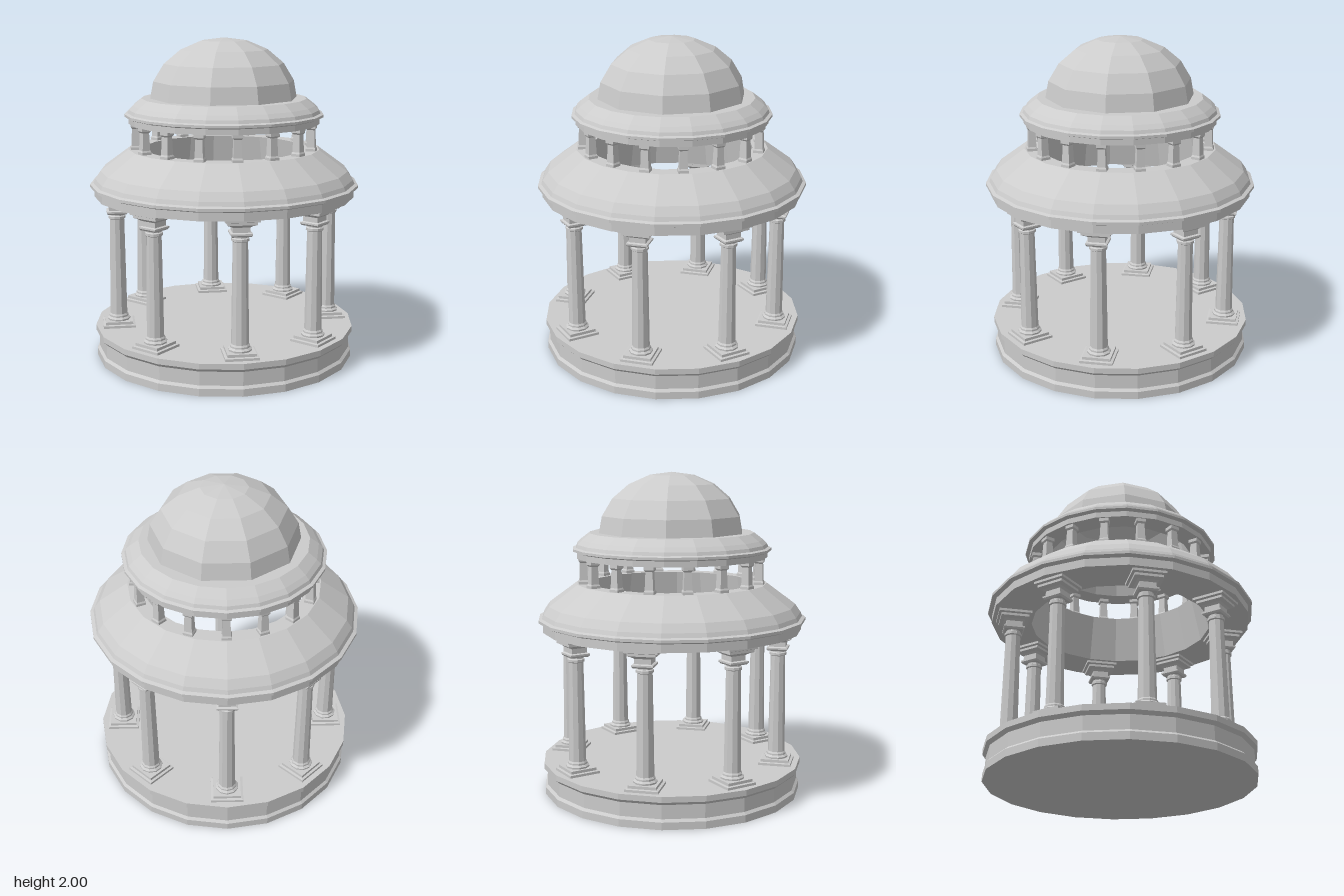
import * as THREE from 'three';

const material = new THREE.MeshStandardMaterial({ color: 0xcccccc, flatShading: true });
const openMaterial = new THREE.MeshStandardMaterial({ color: 0xcccccc, flatShading: true, side: THREE.DoubleSide });

// Faceted solid of revolution; profile is [radius, height] from bottom to top
function turned(name, profile, sides, mat = material) {
  const points = profile.map(([r, y]) => new THREE.Vector2(r, y));
  const mesh = new THREE.Mesh(new THREE.LatheGeometry(points, sides), mat);
  mesh.name = name;
  return mesh;
}

// Square stack; profile is [half width, height] from bottom to top
function squared(name, profile) {
  const points = profile.map(([h, y]) => new THREE.Vector2(h * Math.SQRT2, y));
  const mesh = new THREE.Mesh(new THREE.LatheGeometry(points, 4, Math.PI / 4), material);
  mesh.name = name;
  return mesh;
}

// Copies of a part in a ring, each turned to face outwards
function ring(name, count, radius, start, makePart) {
  const group = new THREE.Group();
  group.name = name;
  for (let i = 0; i < count; i++) {
    const angle = start + (i / count) * Math.PI * 2;
    const part = makePart();
    part.position.set(radius * Math.sin(angle), 0, radius * Math.cos(angle));
    part.rotation.y = angle;
    group.add(part);
  }
  return group;
}

function makeColumn() {
  const column = new THREE.Group();
  column.name = 'column';
  column.add(
    squared('plinth', [[0, 0.2], [0.1, 0.2], [0.1, 0.215], [0.085, 0.218], [0.085, 0.235], [0, 0.235]]),
    turned('shaft', [
      [0.07, 0.23], [0.072, 0.245], [0.06, 0.255], [0.06, 0.265], [0.053, 0.275],
      [0.045, 0.885], [0.053, 0.89], [0.053, 0.905], [0.045, 0.91], [0.045, 0.93],
    ], 10),
    squared('capital', [
      [0, 0.92], [0.055, 0.92], [0.063, 0.93], [0.063, 0.94], [0.05, 0.945], [0.05, 0.975],
      [0.063, 0.985], [0.085, 0.995], [0.085, 1.01], [0.1, 1.015], [0.1, 1.035], [0, 1.035],
    ])
  );
  return column;
}

function makeBaluster() {
  return squared('baluster', [
    [0, 1.315], [0.03, 1.315], [0.03, 1.335], [0.025, 1.345], [0.021, 1.45],
    [0.029, 1.46], [0.029, 1.485], [0, 1.485],
  ]);
}

export function createModel() {
  const model = new THREE.Group();
  model.name = 'rotunda';
  const start = THREE.MathUtils.degToRad(18);

  // Round floor with moulded edge
  model.add(turned('floorBase', [
    [0, 0], [0.815, 0], [0.815, 0.045], [0.8, 0.06], [0.8, 0.145], [0.82, 0.165], [0.82, 0.2], [0, 0.2],
  ], 20));

  model.add(ring('columns', 8, 0.675, start, makeColumn));

  // Sloping lower roof with a round opening
  model.add(turned('lowerRoof', [
    [0.56, 1.03], [0.81, 1.03], [0.81, 1.08], [0.836, 1.09], [0.836, 1.107], [0.815, 1.115],
    [0.805, 1.14], [0.77, 1.19], [0.593, 1.32], [0.5, 1.32], [0.56, 1.03],
  ], 20));

  model.add(ring('balusters', 16, 0.55, start, makeBaluster));

  // Ring that carries the dome
  model.add(turned('upperRing', [
    [0.47, 1.48], [0.593, 1.48], [0.593, 1.515], [0.617, 1.523], [0.617, 1.538], [0.598, 1.545],
    [0.59, 1.565], [0.565, 1.59], [0.51, 1.632], [0.43, 1.632], [0.47, 1.48],
  ], 20));

  // Ten-sided dome in five bands
  const dome = [];
  for (let i = 0; i <= 5; i++) {
    const a = (i / 5) * Math.PI / 2;
    dome.push([i === 5 ? 0 : 0.46 * Math.cos(a), 1.617 + 0.383 * Math.sin(a)]);
  }
  model.add(turned('dome', dome, 10, openMaterial));

  return model;
}
